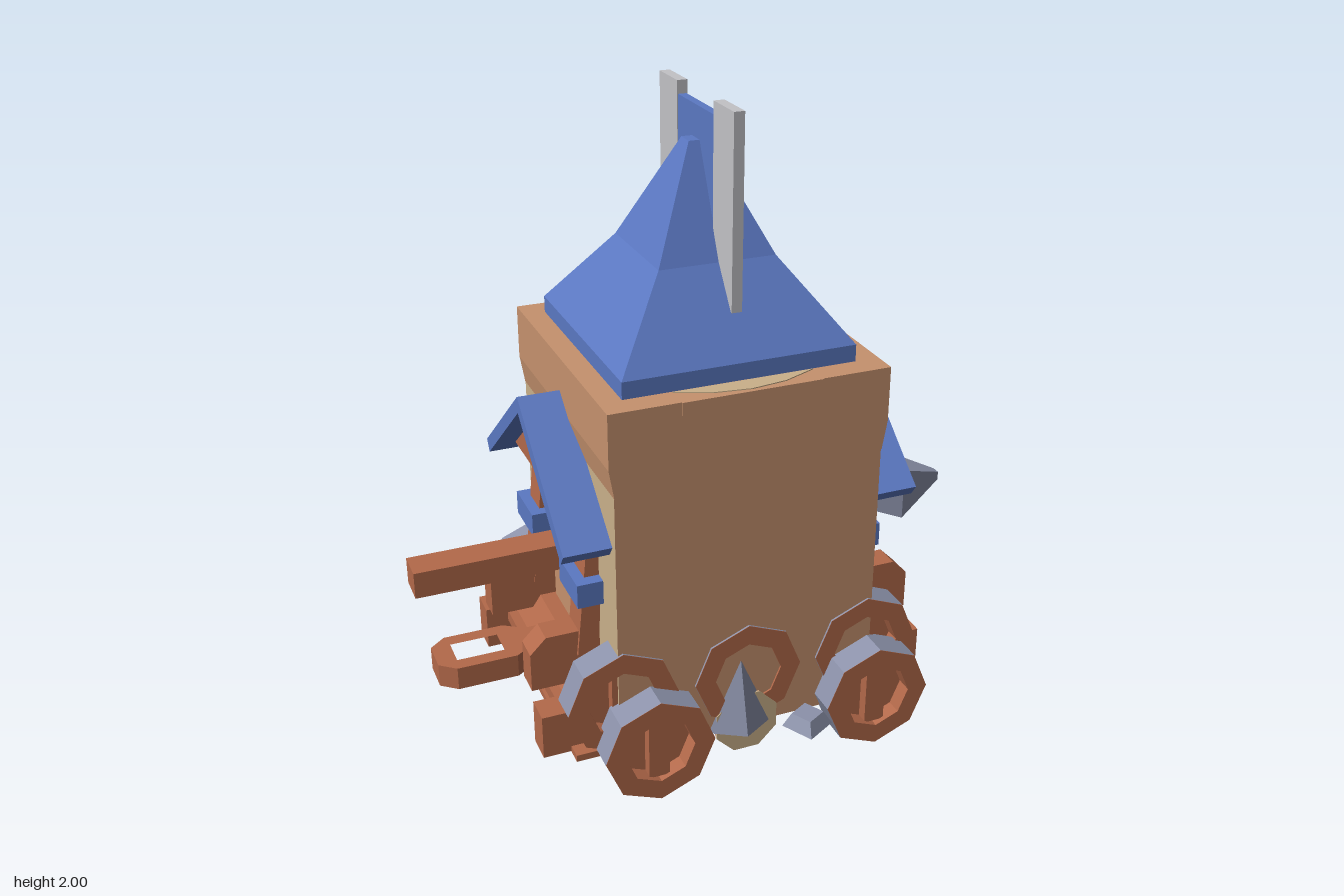
import * as THREE from 'three';

const mat = (name, color) => {
  const m = new THREE.MeshStandardMaterial({ color });
  m.name = name;
  return m;
};

export function createModel() {
  const plank = mat('plank tan', 0xc6926e);
  const wood = mat('red wood', 0xb3694a);
  const beige = mat('beige wood', 0xcab08a);
  const blue = mat('blue roof', 0x5b78c2);
  const iron = mat('iron', 0x8c92aa);
  const pale = mat('pale metal', 0xc2c2c6);

  const model = new THREE.Group();
  model.name = 'siegeTower';
  const CX = 0.015; // the tower's own centre line

  // faceted mesh helper
  const add = (parent, name, geo, material, x = 0, y = 0, z = 0) => {
    const g = geo.index ? geo.toNonIndexed() : geo;
    g.computeVertexNormals();
    const m = new THREE.Mesh(g, material);
    m.name = name;
    m.position.set(x, y, z);
    parent.add(m);
    return m;
  };
  // box given by its limits
  const box = (parent, name, material, x0, x1, y0, y1, z0, z1) =>
    add(parent, name, new THREE.BoxGeometry(x1 - x0, y1 - y0, z1 - z0), material,
      (x0 + x1) / 2, (y0 + y1) / 2, (z0 + z1) / 2);
  const poly = pts => new THREE.Shape(pts.map(p => new THREE.Vector2(p[0], p[1])));
  const extrude = (shape, depth) => new THREE.ExtrudeGeometry(shape, { depth, bevelEnabled: false });
  // square tower from [halfSide, height] pairs
  const square = pts => new THREE.LatheGeometry(
    pts.map(p => new THREE.Vector2(p[0] * Math.SQRT2, p[1])), 4).rotateY(Math.PI / 4);

  // tower body: beige flanks, tan front and back, wider head
  add(model, 'towerBody', new THREE.BoxGeometry(0.83, 0.88, 0.86),
    [beige, beige, plank, wood, plank, plank], CX, 0.57, 0);
  add(model, 'towerHead', extrude(poly([[-0.415, 1.0], [0.415, 1.0], [0.43, 1.09],
    [0.43, 1.26], [-0.43, 1.26], [-0.43, 1.09]]), 0.868).translate(0, 0, -0.434), plank, CX);

  // shallow worn arcs along the top edge
  for (const s of [1, -1]) {
    const arc = add(model, 'wornEdge', extrude(poly([[-0.215, 0], [-0.11, 0.045], [0, 0.06],
      [0.11, 0.045], [0.215, 0]]), 0.004).rotateX(Math.PI / 2), beige, CX, 1.263, s * 0.365);
    if (s < 0) arc.rotation.y = Math.PI;
    box(model, 'headTrim', plank, -0.2, 0.23, 1.22, 1.26, s * 0.434 - 0.004, s * 0.434 + 0.004);
  }

  // main roof
  add(model, 'mainRoof', square([[0, 1.26], [0.358, 1.26], [0.358, 1.312], [0.18, 1.55],
    [0.028, 1.865], [0, 1.865]]), blue, 0.012);

  // banner blade with two pale fins
  box(model, 'bannerPanel', blue, 0.017, 0.043, 1.43, 1.96, -0.135, 0.135);
  for (const s of [1, -1])
    box(model, 'bannerFin', pale, 0.014, 0.046, 1.43, 2.0, s * 0.205 - 0.07, s * 0.205 + 0.07);

  // floor with iron patches, and the log beneath it
  box(model, 'floor', wood, -0.53, 0.56, 0.128, 0.15, -0.41, 0.41);
  for (const s of [1, -1])
    add(model, 'floorPatch', new THREE.CylinderGeometry(1, 1, 0.006, 7).scale(0.15, 1, 0.2),
      iron, CX + s * 0.27, 0.127, s * 0.08);
  const logRadii = [[0.108, -0.438], [0.098, -0.39], [0.09, -0.2], [0.09, 0.2], [0.098, 0.39], [0.108, 0.438]];
  add(model, 'log', new THREE.LatheGeometry(logRadii.map(p => new THREE.Vector2(...p)), 8)
    .rotateY(Math.PI / 8).rotateX(Math.PI / 2), wood, 0.01, 0.145, 0);
  for (const s of [1, -1])
    add(model, 'logEnd', new THREE.CylinderGeometry(0.108, 0.108, 0.006, 8)
      .rotateY(Math.PI / 8).rotateX(Math.PI / 2), beige, 0.01, 0.145, s * 0.436);

  // octagonal wheel: iron tyre, wooden ring, recessed core and spoke
  const octagon = r => Array.from({ length: 8 }, (_, i) =>
    [r * Math.cos(i * Math.PI / 4), r * Math.sin(i * Math.PI / 4)]);
  const wheel = (name, x, y, s, z0, z1, core) => {
    const g = new THREE.Group();
    g.name = name;
    const d = z1 - z0, R = 0.174, r = 0.108;
    add(g, 'tyre', new THREE.CylinderGeometry(R, R, d, 8, 1, true).rotateX(Math.PI / 2), iron, 0, 0, d / 2);
    const ring = poly(octagon(R - 0.001));
    ring.holes.push(poly(octagon(r)));
    add(g, 'rim', extrude(ring, d), wood);
    if (core) {
      add(g, 'core', new THREE.CylinderGeometry(r + 0.01, r + 0.01, d * 0.5, 8).rotateX(Math.PI / 2),
        wood, 0, 0, d * 0.26);
      box(g, 'spoke', wood, -0.033, 0.033, -0.1, 0.1, 0, d * 0.85);
    }
    g.position.set(x, y, s * z0);
    if (s < 0) g.rotation.y = Math.PI;
    model.add(g);
  };
  for (const s of [1, -1]) {
    for (const x of [-0.302, 0.42]) wheel('outerWheel', x, 0.178, s, 0.415, 0.52, true);
    for (const k of [-1, 0, 1]) wheel('innerWheel', CX + k * 0.4, 0.315, s, 0.34, 0.436, k !== 0);
  }
  for (const x of [-0.302, 0.42])
    add(model, 'axle', new THREE.CylinderGeometry(0.04, 0.04, 0.86, 8).rotateX(Math.PI / 2), wood, x, 0.17, 0);

  // iron spikes and loose caltrops, turned half round for the back
  for (const s of [1, -1]) {
    const g = new THREE.Group();
    g.name = s > 0 ? 'frontSpikes' : 'backSpikes';
    add(g, 'wallSpike', new THREE.ConeGeometry(0.105, 0.24, 4).scale(1, 1, 0.58), iron, -0.06, 0.25, 0.433);
    add(g, 'caltrop', square([[0, -0.022], [0.055, -0.022], [0.035, 0.022], [0, 0.022]]),
      iron, 0.135, 0.152, 0.505).rotation.y = 0.5;
    add(g, 'sidePlate', square([[0, 0], [1, 0], [0.78, 0.05], [0, 0.05]]).scale(0.05, 1, 0.19),
      iron, 0.5, 0.13, 0.065);
    g.position.x = 0.05;
    if (s < 0) g.rotation.y = Math.PI;
    model.add(g);
  }

  // one porch per flank, built facing +x
  const chevron = [[0, 1.152], [-0.405, 0.832], [-0.38, 0.797], [0, 1.1], [0.38, 0.797], [0.405, 0.832]];
  const gable = [[-0.325, 0.85], [0.325, 0.85], [0, 1.105]];
  const chamfered = (x1, y0, y1) => poly([[0.38, y0], [x1, y0], [x1, y1 - 0.05], [x1 - 0.05, y1], [0.38, y1]]);
  for (const s of [1, -1]) {
    const g = new THREE.Group();
    g.name = s > 0 ? 'leftPorch' : 'rightPorch';
    add(g, 'porchRoof', extrude(poly(chevron), 0.16).rotateY(Math.PI / 2), blue, 0.4);
    add(g, 'gable', extrude(poly(gable), 0.09).rotateY(Math.PI / 2), wood, 0.4);
    box(g, 'door', plank, 0.41, 0.42, 0.35, 0.85, -0.17, 0.17);
    // stepped base
    add(g, 'base', extrude(poly([[0.38, 0.14], [0.53, 0.14], [0.53, 0.26], [0.47, 0.35], [0.38, 0.35]]), 0.52),
      wood, 0, 0, -0.26);
    for (const k of [1, -1]) {
      add(g, 'post', new THREE.BoxGeometry(0.06, 0.46, 0.1), wood, 0.435, 0.63, k * 0.225).rotation.z = 0.1;
      const brace = box(g, 'brace', wood, 0.415, 0.45, 0.66, 0.86, k * 0.14 - 0.018, k * 0.14 + 0.018);
      brace.rotation.x = k * 0.5;
      box(g, 'postBand', blue, 0.39, 0.495, 0.595, 0.672, k * 0.227 - 0.087, k * 0.227 + 0.087);
      box(g, 'footBlock', wood, 0.38, 0.632, 0.132, 0.275, k * 0.315 - 0.045, k * 0.315 + 0.045);
      add(g, 'upperBlock', extrude(chamfered(0.632, 0.31, 0.485), 0.085), wood, 0, 0, k * 0.222 - 0.0425);
      box(g, 'ledge', wood, 0.5, 0.56, 0.22, 0.26, k * 0.18 - 0.09, k * 0.18 + 0.09);
      if (s > 0)
        add(g, 'shieldPlate', new THREE.BoxGeometry(0.025, 0.17, 0.12), blue, 0.455, 0.43, k * 0.325).rotation.z = 0.6;
    }
    g.position.x = CX;
    if (s < 0) g.rotation.y = Math.PI;
    model.add(g);
  }

  // battering ram: beam through the tower and iron head
  box(model, 'ramBeam', wood, -0.9, 0.57, 0.575, 0.66, -0.05, 0.05);
  add(model, 'ramHead', square([[0, 0.555], [0.065, 0.555], [0.065, 0.635], [0.06, 0.64],
    [0.088, 0.725], [0.014, 0.9], [0, 0.9]]).rotateZ(-Math.PI / 2), iron, 0, 0.617, 0);

  // rear hitch with slot
  const hitch = poly([[-0.41, -0.05], [-0.55, -0.05], [-0.61, -0.09], [-0.8, -0.09], [-0.85, -0.05],
    [-0.85, 0.05], [-0.8, 0.09], [-0.61, 0.09], [-0.55, 0.05], [-0.41, 0.05]]);
  hitch.holes.push(poly([[-0.64, -0.045], [-0.79, -0.045], [-0.79, 0.045], [-0.64, 0.045]]));
  add(model, 'hitch', extrude(hitch, 0.075).rotateX(-Math.PI / 2), wood, 0, 0.25, 0);

  return model;
}
